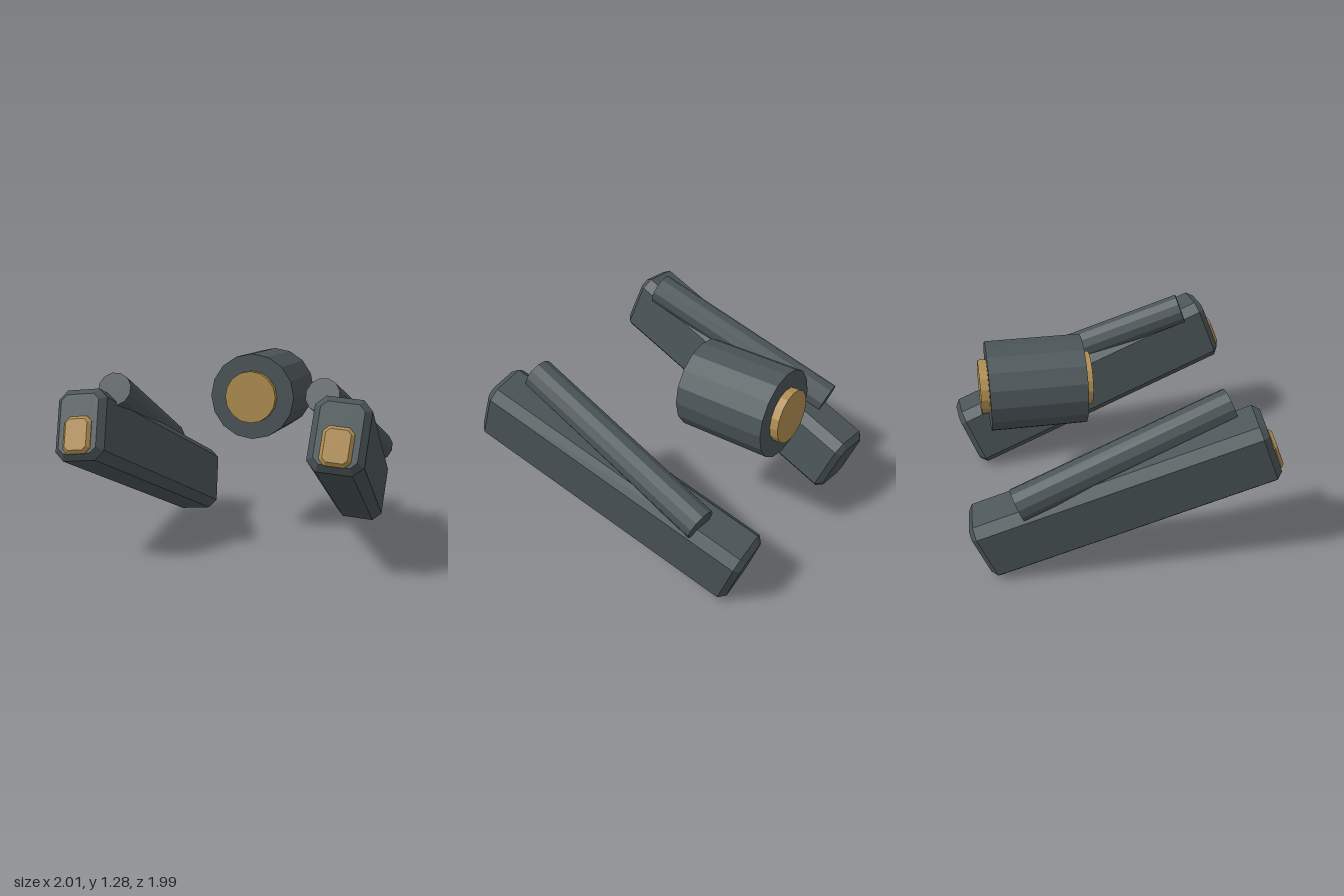
import * as THREE from 'three';

const PITCH = -0.36;

// Bar along z with chamfered long edges and bevelled ends
function chamferedBar(w, h, length, chamfer, bevel) {
  const x = w / 2 - bevel, y = h / 2 - bevel;
  const c = chamfer - bevel * (2 - Math.SQRT2);
  const shape = new THREE.Shape([
    [x, -y + c], [x, y - c], [x - c, y], [-x + c, y],
    [-x, y - c], [-x, -y + c], [-x + c, -y], [x - c, -y],
  ].map(([a, b]) => new THREE.Vector2(a, b)));
  const depth = length - 2 * bevel;
  const geometry = new THREE.ExtrudeGeometry(shape, {
    depth, bevelEnabled: true, bevelSegments: 1, bevelSize: bevel, bevelThickness: bevel,
  });
  return geometry.translate(0, 0, -depth / 2);
}

// Faceted cylinder along z
function facetedRod(radius, length, sides, turn = 0) {
  const geometry = new THREE.CylinderGeometry(radius, radius, length, sides, 1, false, turn)
    .rotateX(Math.PI / 2).toNonIndexed();
  geometry.computeVertexNormals();
  return geometry;
}

function addMesh(parent, name, geometry, material, x = 0, y = 0, z = 0) {
  const mesh = new THREE.Mesh(geometry, material);
  mesh.name = name;
  mesh.position.set(x, y, z);
  parent.add(mesh);
  return mesh;
}

export function createModel() {
  const model = new THREE.Group();
  model.name = 'model';
  const slate = new THREE.MeshStandardMaterial({ color: 0x4b5558 });
  slate.name = 'slate grey';
  const brass = new THREE.MeshStandardMaterial({ color: 0xb08d50 });
  brass.name = 'brass';

  // Central drum with a core showing at both ends
  addMesh(model, 'drum', facetedRod(0.298, 0.63, 16), slate, 0, 0.987, -0.465);
  addMesh(model, 'drumCore', facetedRod(0.18, 0.735, 16), brass, 0, 0.987, -0.468);

  // Tilted side arms
  const barLength = 1.958;
  const barGeometry = chamferedBar(0.343, 0.46, barLength, 0.06, 0.04);
  const capGeometry = chamferedBar(0.19, 0.24, 0.08, 0.035, 0.02);
  const rodGeometry = facetedRod(0.109, 1.46, 12, Math.PI / 12);
  for (const [side, s] of [['left', 1], ['right', -1]]) {
    const arm = new THREE.Group();
    arm.name = side + 'Arm';
    arm.position.set(s * 0.74, 0.5635, -0.005);
    arm.rotation.set(PITCH, s * 0.087, -s * 0.07);
    addMesh(arm, side + 'Bar', barGeometry, slate);
    addMesh(arm, side + 'EndCap', capGeometry, brass, 0, -0.075, barLength / 2 - 0.015);
    model.add(arm);

    // Rod lying across the top of the bar
    const rod = addMesh(model, side + 'Rod', rodGeometry, slate, s * 0.74, 0.849, -0.005);
    rod.rotation.set(PITCH, -s * 0.087, 0);
  }
  return model;
}
